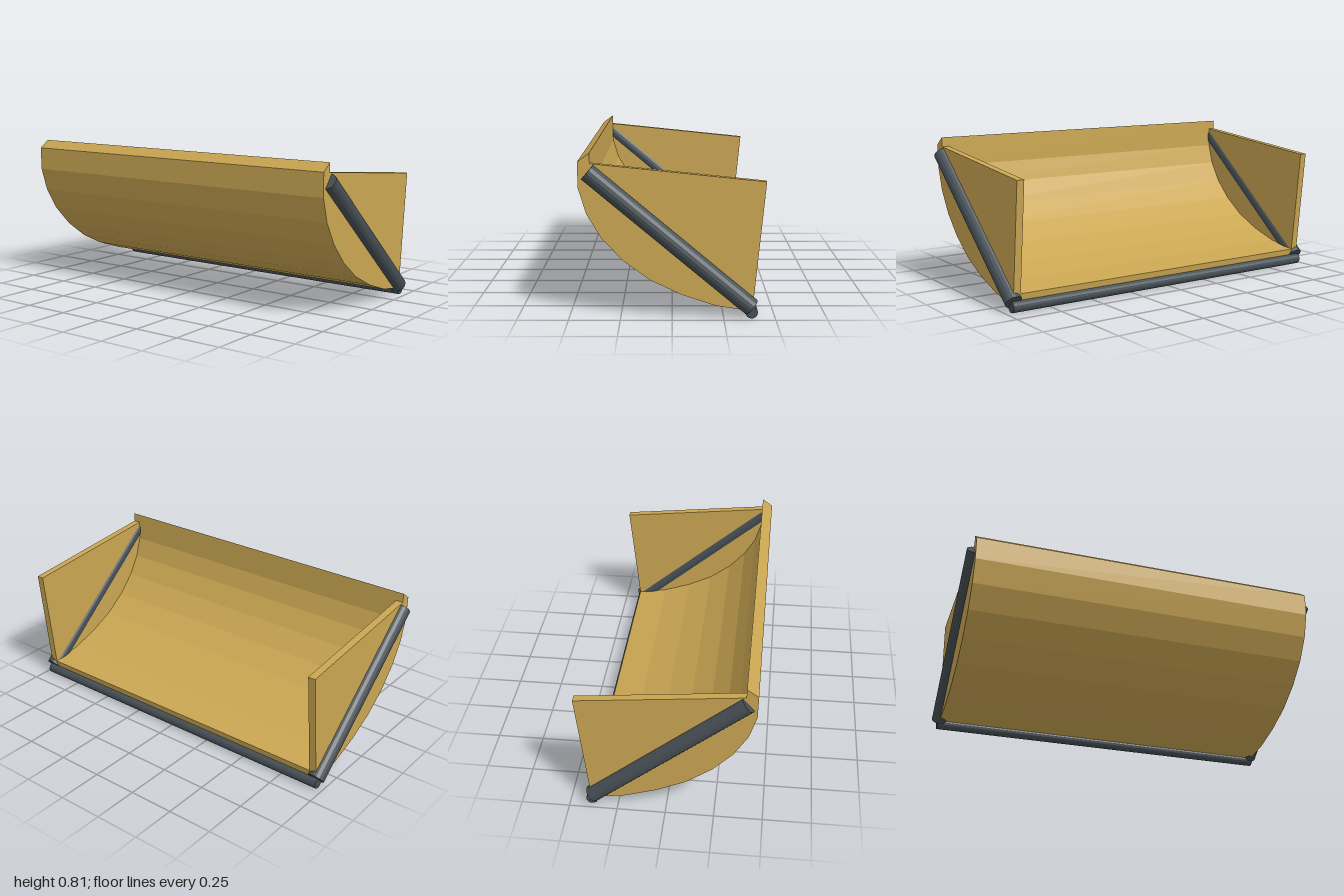
import * as THREE from 'three';

const gold = new THREE.MeshStandardMaterial({ color: 0xcaa652, flatShading: true });
const steel = new THREE.MeshStandardMaterial({ color: 0x464f55, flatShading: true });

// Outer curve of the scoop as [z, y], from the top lip down to the back edge
const outer = [
  [0.45, 0.765], [0.448, 0.64], [0.41, 0.515], [0.338, 0.395], [0.235, 0.285],
  [0.105, 0.19], [-0.045, 0.118], [-0.21, 0.063], [-0.385, 0.035],
];
const thickness = 0.06;

// Inner curve: the outer one moved inwards along its normal
const inner = outer.map((p, i) => {
  const a = outer[Math.max(i - 1, 0)];
  const b = outer[Math.min(i + 1, outer.length - 1)];
  const dz = b[0] - a[0], dy = b[1] - a[1], len = Math.hypot(dz, dy);
  return [p[0] + (dy / len) * thickness, p[1] - (dz / len) * thickness];
});
inner[0] = [0.392, 0.807]; // slanted top lip

// Extrude a [z, y] outline along x, from x0 to x1
function extrudeAlongX(name, points, x0, x1) {
  const shape = new THREE.Shape(points.map(([z, y]) => new THREE.Vector2(-z, y)));
  const geometry = new THREE.ExtrudeGeometry(shape, { depth: x1 - x0, bevelEnabled: false });
  geometry.rotateY(Math.PI / 2).translate(x0, 0, 0);
  const mesh = new THREE.Mesh(geometry, gold);
  mesh.name = name;
  return mesh;
}

// Straight round bar between two points
function bar(name, from, to, radius) {
  const a = new THREE.Vector3(...from), b = new THREE.Vector3(...to);
  const direction = b.clone().sub(a);
  const mesh = new THREE.Mesh(new THREE.CylinderGeometry(radius, radius, direction.length(), 16), steel);
  mesh.position.copy(a).add(b).multiplyScalar(0.5);
  mesh.quaternion.setFromUnitVectors(new THREE.Vector3(0, 1, 0), direction.normalize());
  mesh.name = name;
  return mesh;
}

export function createModel() {
  const group = new THREE.Group();
  group.name = 'scoop';

  // Curved shell
  group.add(extrudeAlongX('curvedShell', [...outer, ...inner.slice().reverse()], -0.96, 0.96));

  // Side plates fill the inside of the curve; a slanted bar runs along each
  const plate = [[0.392, 0.757], ...inner.slice(1), [-0.45, 0.67]];
  for (const side of [1, -1]) {
    const label = side > 0 ? 'left' : 'right';
    const [x0, x1] = side > 0 ? [0.92, 0.96] : [-0.96, -0.92];
    group.add(extrudeAlongX(label + 'SidePlate', plate, x0, x1));
    group.add(bar(label + 'SideBar', [side * 0.955, 0.716, 0.403], [side * 0.955, 0.054, -0.385], 0.045));
  }

  // Bar under the back edge
  group.add(bar('backEdgeBar', [-0.97, 0.031, -0.385], [0.97, 0.031, -0.385], 0.03));
  return group;
}
